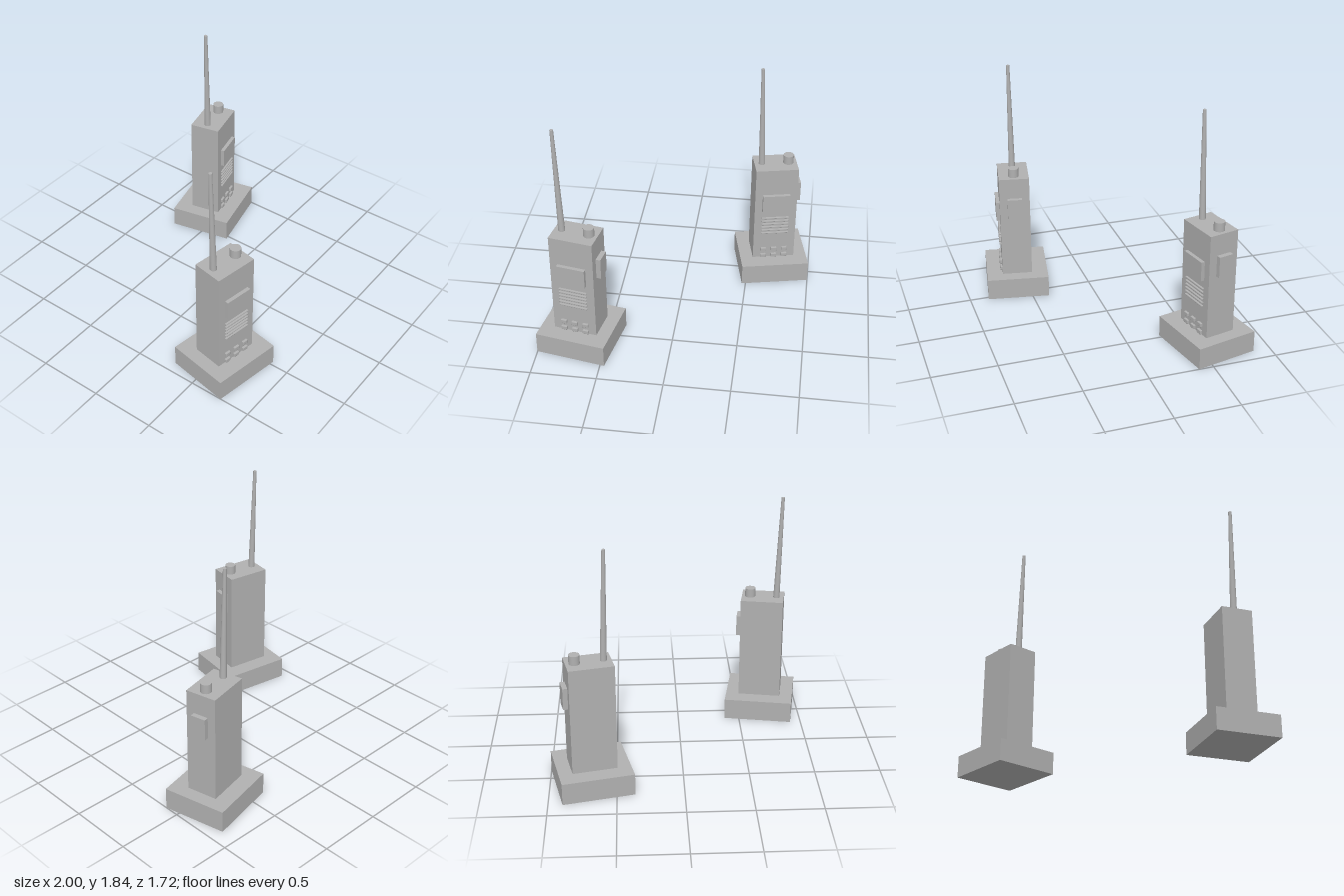
import * as THREE from 'three';
import { RoundedBoxGeometry } from 'three/addons/geometries/RoundedBoxGeometry.js';

const grey = new THREE.MeshStandardMaterial({ color: 0xb0b0b0 });
grey.name = 'plain grey';

function add(parent, name, geometry, x, y, z) {
  const mesh = new THREE.Mesh(geometry, grey);
  mesh.name = name;
  mesh.position.set(x, y, z);
  parent.add(mesh);
  return mesh;
}

function makeRadio(name, x, z, turn) {
  const radio = new THREE.Group();
  radio.name = name;
  radio.position.set(x, 0, z);
  radio.rotation.y = turn;

  // Charging base and upright case
  const front = 0.119;
  add(radio, 'chargerBase', new THREE.BoxGeometry(0.542, 0.17, 0.491), 0, 0.085, 0);
  add(radio, 'case', new THREE.BoxGeometry(0.337, 0.855, 2 * front), 0, 0.5775, 0);

  // Screen on the front, talk button on the left side
  add(radio, 'screen', new THREE.BoxGeometry(0.218, 0.152, 0.05), 0, 0.704, front + 0.004);
  add(radio, 'talkButton', new THREE.BoxGeometry(0.06, 0.167, 0.115), 0.175, 0.757, 0);

  // Speaker slats
  for (let i = 0; i < 6; i++) {
    add(radio, 'speakerSlat', new RoundedBoxGeometry(0.22, 0.011, 0.03, 1, 0.003), 0, 0.414 + i * 0.029, front);
  }

  // Keypad
  for (let row = 0; row < 2; row++) {
    for (let col = -1; col <= 1; col++) {
      add(radio, 'key', new RoundedBoxGeometry(0.048, 0.033, 0.034, 1, 0.005), col * 0.086, 0.19 + row * 0.061, front);
    }
  }

  // Volume knob
  add(radio, 'knob', new THREE.CylinderGeometry(0.041, 0.041, 0.08, 20), 0.102, 1.035, 0);

  // Tapered antenna leaning slightly outward
  const antennaGeometry = new THREE.CylinderGeometry(0.013, 0.0255, 0.85, 12);
  antennaGeometry.translate(0, 0.425, 0);
  add(radio, 'antenna', antennaGeometry, -0.109, 0.994, 0).rotation.z = 0.028;

  return radio;
}

export function createModel() {
  const model = new THREE.Group();
  model.name = 'radioPair';
  model.add(makeRadio('rightRadio', -0.692, 0.566, -0.178));
  model.add(makeRadio('leftRadio', 0.682, -0.569, 0.218));
  return model;
}
